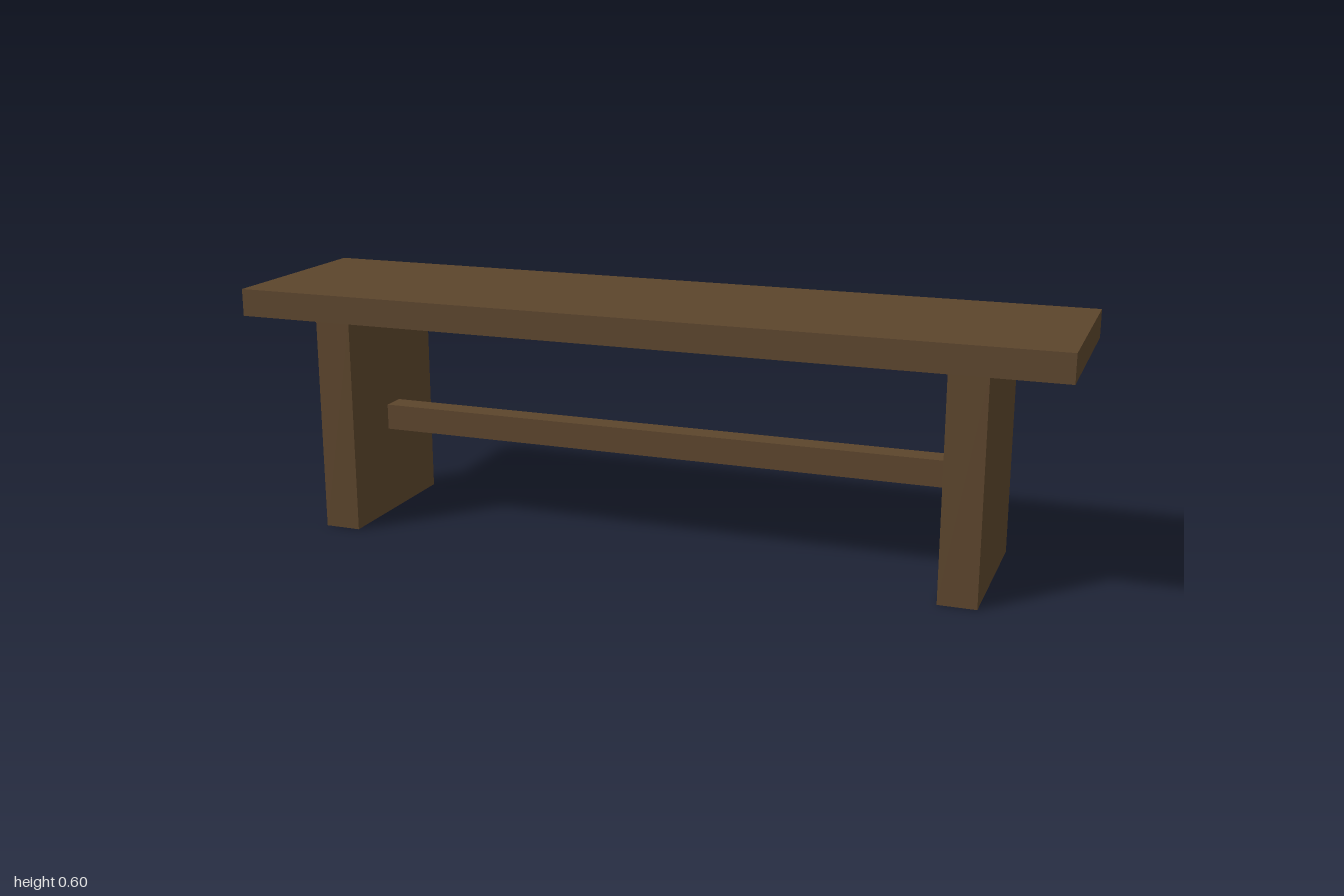
import * as THREE from 'three';

export function createModel() {
  const bench = new THREE.Group();
  bench.name = 'bench';

  const wood = new THREE.MeshStandardMaterial({ color: 0x5c452c });
  wood.name = 'dark brown wood';

  // Adds a board centred on (x, z) with its underside at the given height
  function board(name, width, height, depth, x, bottom) {
    const mesh = new THREE.Mesh(new THREE.BoxGeometry(width, height, depth), wood);
    mesh.name = name;
    mesh.position.set(x, bottom + height / 2, 0);
    bench.add(mesh);
  }

  const legHeight = 0.535;
  const legWidth = 0.09;
  const legX = 0.775;

  // Seat plank
  board('seat', 2, 0.067, 0.48, 0, legHeight);

  // Slab legs at both ends
  board('leftLeg', legWidth, legHeight, 0.4, legX, 0);
  board('rightLeg', legWidth, legHeight, 0.4, -legX, 0);

  // Stretcher between the inner faces of the legs
  board('stretcher', 2 * legX - legWidth, 0.064, 0.06, 0, 0.218);

  return bench;
}
